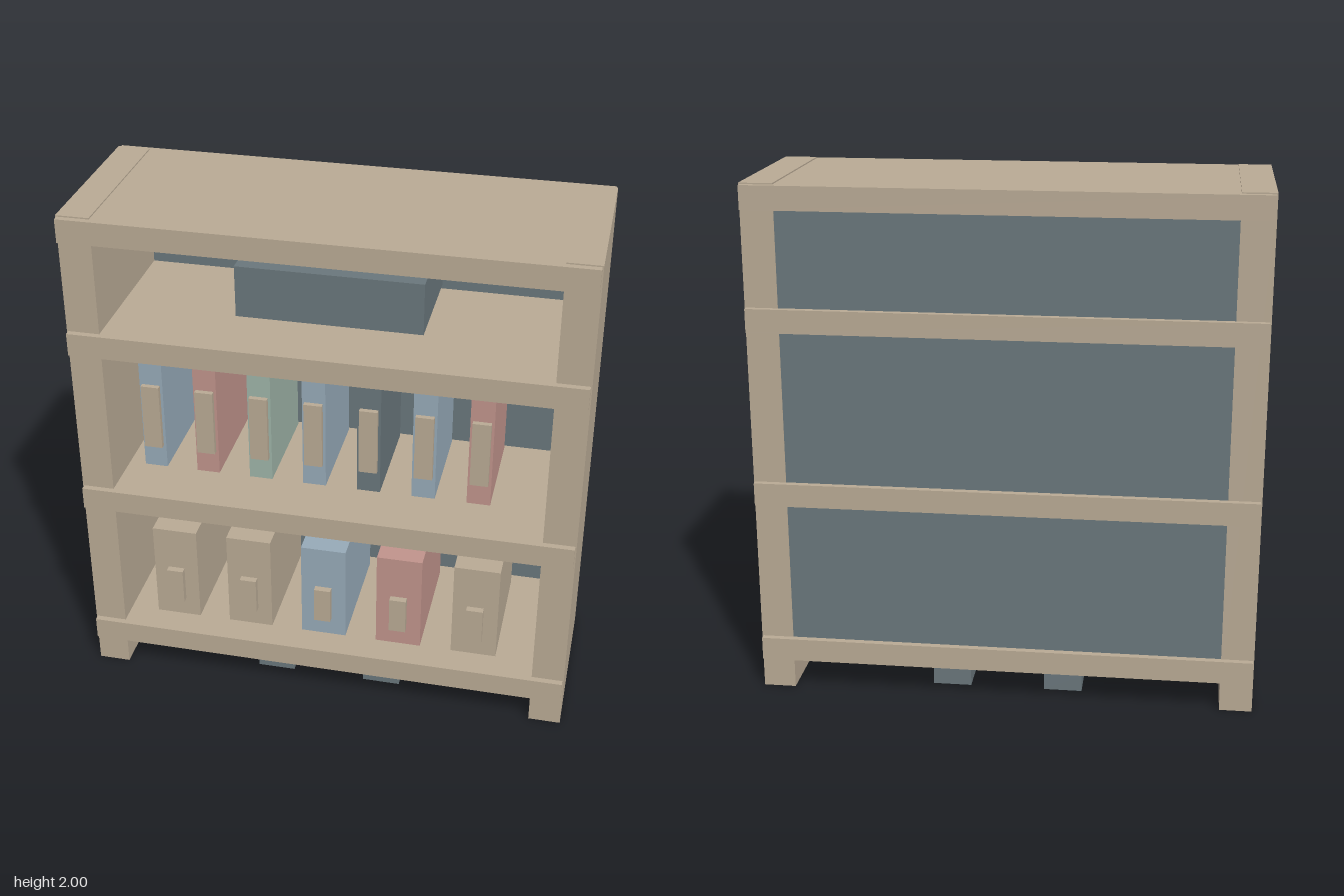
import * as THREE from 'three';

const paint = (name, color) => {
  const m = new THREE.MeshStandardMaterial({ color });
  m.name = name;
  return m;
};

export function createModel() {
  const tan = paint('tan wood', 0xb8a994);
  const slate = paint('slate', 0x69767b);
  const blue = paint('dusty blue', 0x96a9b7);
  const red = paint('dusty red', 0xc0938b);
  const green = paint('sage green', 0x9db3a7);

  const root = new THREE.Group();
  root.name = 'shelfUnit';

  // Box given by its min and max on each axis
  const box = (name, mat, [x0, x1], [y0, y1], [z0, z1]) => {
    const mesh = new THREE.Mesh(new THREE.BoxGeometry(x1 - x0, y1 - y0, z1 - z0), mat);
    mesh.position.set((x0 + x1) / 2, (y0 + y1) / 2, (z0 + z1) / 2);
    mesh.name = name;
    root.add(mesh);
  };
  const around = (c, w) => [c - w / 2, c + w / 2];

  // Side panels, standing on the ground
  box('leftSide', tan, [0.835, 0.96], [0, 2], [-0.337, 0.337]);
  box('rightSide', tan, [-0.96, -0.835], [0, 2], [-0.337, 0.337]);

  // Back panel
  box('backPanel', slate, [-0.835, 0.835], [0.17, 1.95], [-0.335, -0.305]);

  // Shelves overhang the sides at front and back
  for (const y of [0.17, 0.815, 1.495, 1.95]) {
    box('shelf', tan, [-0.955, 0.955], around(y, 0.09), [-0.361, 0.361]);
  }

  // Small feet under the lowest shelf
  for (const x of [-0.222, 0.218]) {
    for (const z of [-0.17, 0.17]) {
      box('foot', slate, around(x, 0.15), [0, 0.066], around(z, 0.15));
    }
  }

  // Binders with spine labels on the middle shelf
  [blue, red, green, blue, slate, blue, red].forEach((mat, i) => {
    const x = -0.697 + i * 0.2118;
    box('binder', mat, around(x, 0.09), [0.91, 1.365], [-0.21, 0.21]);
    box('binderLabel', tan, around(x, 0.07), [1.005, 1.272], [0.2, 0.23]);
  });

  // File boxes with handles on the lower shelf
  [tan, tan, blue, red, tan].forEach((mat, i) => {
    const x = -0.63 + i * 0.305;
    box('fileBox', mat, around(x, 0.18), [0.22, 0.63], [-0.25, 0.25]);
    box('fileBoxHandle', tan, around(x, 0.066), [0.3, 0.45], [0.24, 0.277]);
  });

  // Storage tray with two cushions on the upper shelf
  box('tray', slate, [-0.35, 0.345], [1.605, 1.805], [-0.21, 0.21]);
  for (const x of [-0.24, 0.234]) {
    const cushion = new THREE.Mesh(new THREE.SphereGeometry(0.15, 32, 20), tan);
    cushion.scale.set(1, 0.4, 1);
    cushion.position.set(x, 1.845, 0);
    cushion.name = 'cushion';
    root.add(cushion);
  }

  return root;
}
